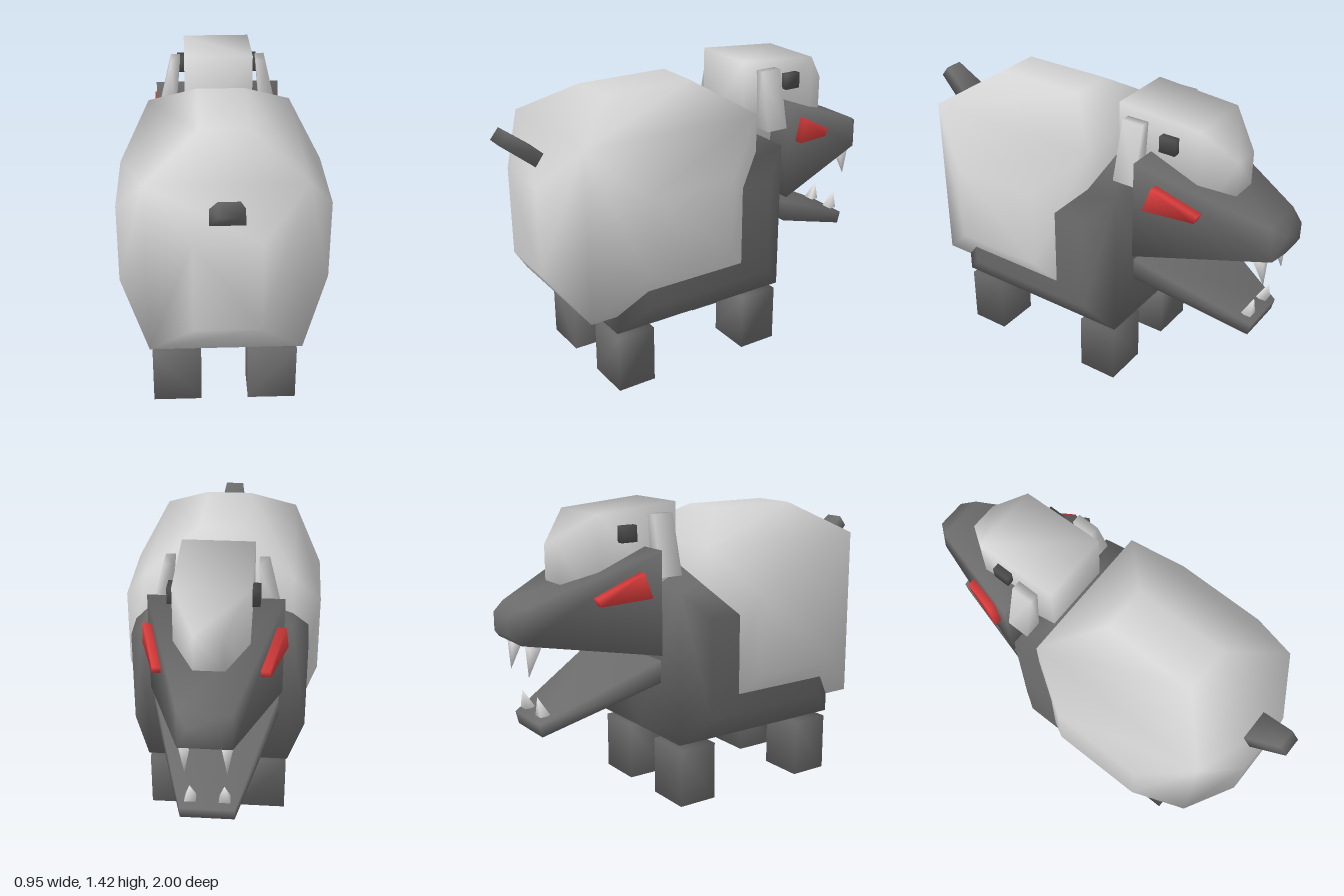
import * as THREE from 'three';
import { ConvexGeometry } from 'three/addons/geometries/ConvexGeometry.js';
import { mergeVertices } from 'three/addons/utils/BufferGeometryUtils.js';

// Smooth-shaded convex solid around a handful of corner points
function solid(points) {
  const hull = new ConvexGeometry(points.map(p => new THREE.Vector3(...p)));
  hull.deleteAttribute('normal');
  const geometry = mergeVertices(hull, 1e-4);
  geometry.computeVertexNormals();
  return geometry;
}

// Every corner of an axis-aligned box
function box([x0, x1], [y0, y1], [z0, z1]) {
  const out = [];
  for (const x of [x0, x1]) for (const y of [y0, y1]) for (const z of [z0, z1]) out.push([x, y, z]);
  return out;
}

const flipX = ([x, y, z]) => [-x, y, z];

export function createModel() {
  const group = new THREE.Group();
  const material = (name, color) => {
    const m = new THREE.MeshStandardMaterial({ color });
    m.name = name;
    return m;
  };
  const wool = material('pale wool', 0xd6d6d6);
  const hide = material('dark hide', 0x6b6b6b);
  const knob = material('dark knob', 0x505050);
  const red = material('red eye', 0xdc3c3c);
  const ivory = material('ivory tooth', 0xececec);

  const add = (name, mat, points) => {
    const mesh = new THREE.Mesh(solid(points), mat);
    mesh.name = name;
    group.add(mesh);
  };
  // Centre part: half of the corners, mirrored across x
  const centre = (name, mat, half) => add(name, mat, [...half, ...half.map(flipX)]);
  // Two separate parts, one on each side
  const pair = (name, mat, points) => {
    add(name + 'Left', mat, points);
    add(name + 'Right', mat, points.map(flipX));
  };

  // Torso: core box with raised panels on sides, top and rump
  centre('body', hide, [
    ...box([0, 0.34], [0.31, 1.04], [-0.29, 0.62]),
    ...box([0.42, 0.42], [0.44, 0.91], [-0.17, 0.5]),
    ...box([0.12, 0.12], [1.115, 1.115], [-0.15, 0.48]),
    ...box([0.2, 0.2], [0.4, 0.95], [0.67, 0.67]),
  ]);

  // Fleece: larger box of the same kind, overlapping the torso
  centre('fleece', wool, [
    ...box([0.34, 0.34], [0.4, 1.22], [-0.14, 0.75]),
    ...box([0.475, 0.475], [0.62, 1.0], [0.08, 0.52]),
    ...box([0.11, 0.11], [1.365, 1.365], [0.08, 0.53]),
    ...box([0.145, 0.145], [0.6, 1.02], [0.89, 0.89]),
  ]);

  // Legs
  pair('frontLeg', hide, box([0.11, 0.335], [0, 0.28], [-0.28, -0.085]));
  pair('backLeg', hide, box([0.11, 0.335], [0, 0.28], [0.425, 0.615]));

  // Tail, rising backwards
  centre('tail', hide, [
    [0.075, 1.14, 0.81], [0.075, 1.085, 0.85],
    [0.045, 1.255, 0.96], [0.045, 1.205, 1.0],
  ]);

  // Tapered upper head and snout
  centre('snout', hide, [
    [0.305, 1.225, -0.36], [0.305, 0.745, -0.36],
    [0.115, 1.0, -0.935], [0.115, 0.84, -0.96],
    [0.07, 0.965, -1.0], [0.07, 0.88, -1.0],
  ]);

  // Open lower jaw
  centre('lowerJaw', hide, [
    [0.29, 0.72, -0.36], [0.29, 0.615, -0.36],
    [0.12, 0.47, -0.895], [0.12, 0.41, -0.88],
  ]);

  // Woolly crown on the head
  centre('crown', wool, [
    [0.165, 1.418, -0.19], [0.165, 0.98, -0.19],
    [0.165, 1.385, -0.6], [0.165, 0.95, -0.6],
    [0.065, 1.24, -0.745], [0.065, 1.08, -0.745],
  ]);

  // Ears, flaring out towards the bottom
  pair('ear', wool, [
    ...box([0.185, 0.23], [1.375, 1.375], [-0.355, -0.25]),
    ...box([0.21, 0.295], [1.1, 1.1], [-0.355, -0.245]),
  ]);

  // Small knobs beside the crown
  pair('knob', knob, box([0.14, 0.2], [1.255, 1.33], [-0.5, -0.42]));

  // Red wedge eyes on the cheeks
  const eyeOutline = [[1.135, -0.455], [1.02, -0.42], [0.995, -0.64], [1.03, -0.655]];
  pair('eye', red, eyeOutline.flatMap(([y, z]) => {
    const cheek = 0.305 + 0.32 * (z + 0.36);
    return [[cheek - 0.02, y, z], [cheek + 0.04, y, z]];
  }));

  // Fangs
  pair('upperFang', ivory, [
    ...box([0.065, 0.115], [0.82, 0.82], [-0.92, -0.866]), [0.09, 0.685, -0.92],
  ]);
  pair('lowerFang', ivory, [
    ...box([0.05, 0.1], [0.495, 0.495], [-0.877, -0.825]), [0.075, 0.585, -0.877],
  ]);

  return group;
}
